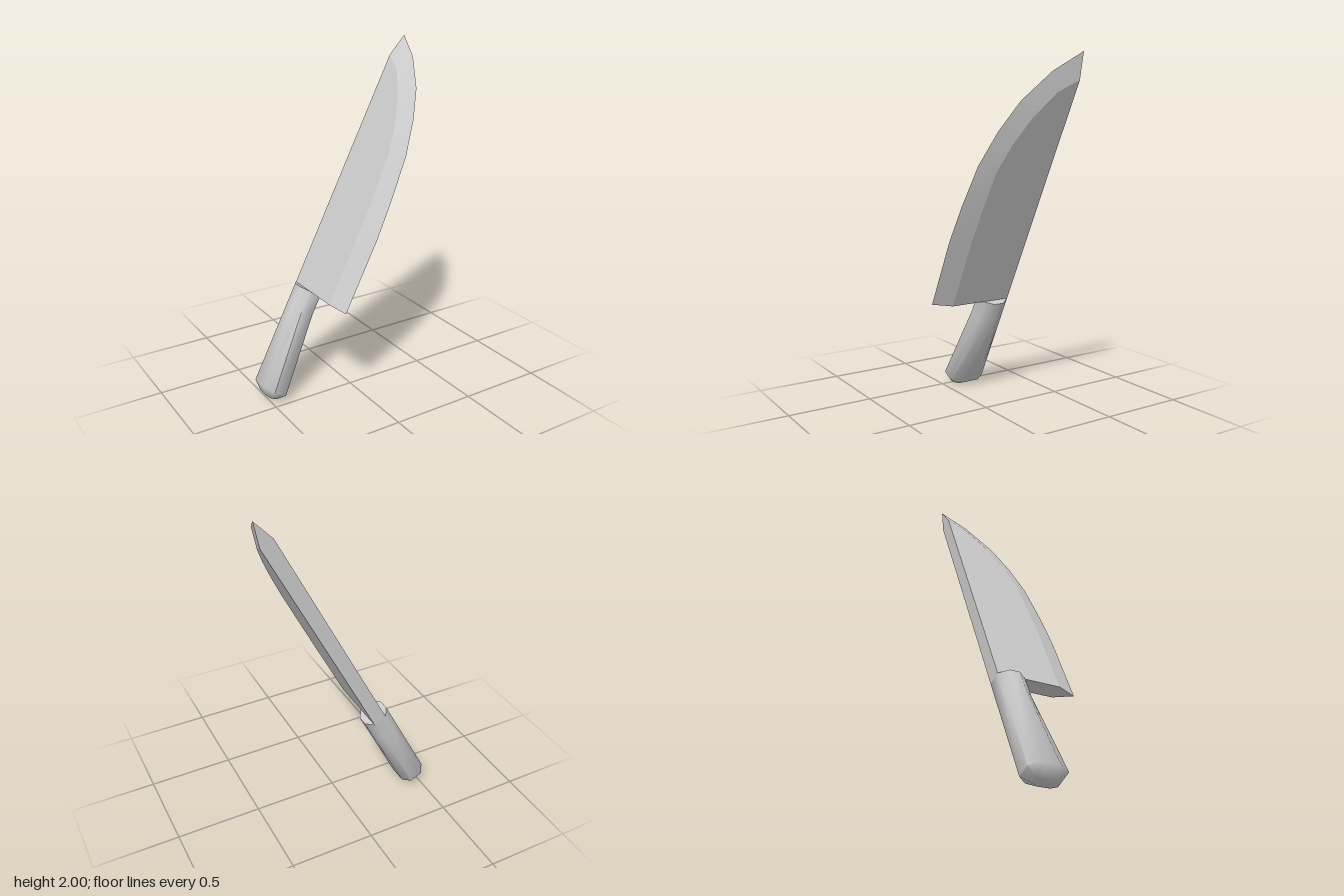
import * as THREE from 'three';
import { toCreasedNormals } from 'three/addons/utils/BufferGeometryUtils.js';

// Skin closed rings of [x, y, z] points, stacked along +y, with both ends capped.
function loft(rings, crease) {
  const n = rings[0].length;
  const index = [];
  for (let i = 0; i < rings.length - 1; i++) {
    for (let j = 0; j < n; j++) {
      const a = i * n + j, b = i * n + (j + 1) % n;
      index.push(a, b, b + n, a, b + n, a + n);
    }
  }
  const top = (rings.length - 1) * n;
  for (let j = 1; j < n - 1; j++) {
    index.push(0, j + 1, j);
    index.push(top, top + j, top + j + 1);
  }
  const geometry = new THREE.BufferGeometry();
  geometry.setAttribute('position', new THREE.Float32BufferAttribute(rings.flat(2), 3));
  geometry.setIndex(index);
  return toCreasedNormals(geometry, crease);
}

// Chamfered octagon: outer / inner half widths, then depths from back to front.
function octagon(y, w, wi, back, backIn, frontIn, front) {
  const half = [[-wi, y, back], [-w, y, backIn], [-w, y, frontIn], [-wi, y, front]];
  return [...half, ...half.map(([x, h, z]) => [-x, h, z]).reverse()];
}

export function createModel() {
  const material = new THREE.MeshStandardMaterial({ color: 0xcccccc });
  const spineZ = -0.247, halfThick = 0.04;

  // Blade stations: [bevel height, bevel z, edge height, edge z]
  const stations = [
    [0, 0.13, 0, 0.247],
    [0.43, 0.13, 0.438, 0.247],
    [0.65, 0.12, 0.662, 0.23],
    [0.88, 0.103, 0.91, 0.198],
    [1.05, 0.052, 1.11, 0.135],
    [1.2, -0.02, 1.28, 0.052],
    [1.35, -0.13, 1.448, -0.09],
    [1.42, spineZ, 1.56, spineZ],
  ];
  const bladeRings = stations.map(([by, bz, ey, ez]) => [
    [-halfThick, by, spineZ],
    [-halfThick, by, bz],
    [0, ey, ez],
    [halfThick, by, bz],
    [halfThick, by, spineZ],
  ]);
  const blade = new THREE.Mesh(loft(bladeRings, 0.2), material);
  blade.name = 'blade';

  // Handle: rounded butt, flared grip, straight neck
  const handle = new THREE.Mesh(loft([
    octagon(-0.662, 0.035, 0.018, -0.2, -0.168, -0.095, -0.063),
    octagon(-0.613, 0.078, 0.04, spineZ, -0.195, -0.085, -0.018),
    octagon(-0.13, 0.078, 0.04, spineZ, -0.195, -0.135, -0.082),
    octagon(0, 0.078, 0.04, spineZ, -0.195, -0.135, -0.082),
  ], 1.0), material);
  handle.name = 'handle';

  // Lean the whole knife toward its left
  const knife = new THREE.Group();
  knife.name = 'knife';
  knife.add(blade, handle);
  knife.rotation.z = THREE.MathUtils.degToRad(-27);
  knife.position.set(-0.183, 0.608, 0);

  const model = new THREE.Group();
  model.name = 'kitchenKnife';
  model.add(knife);
  return model;
}
